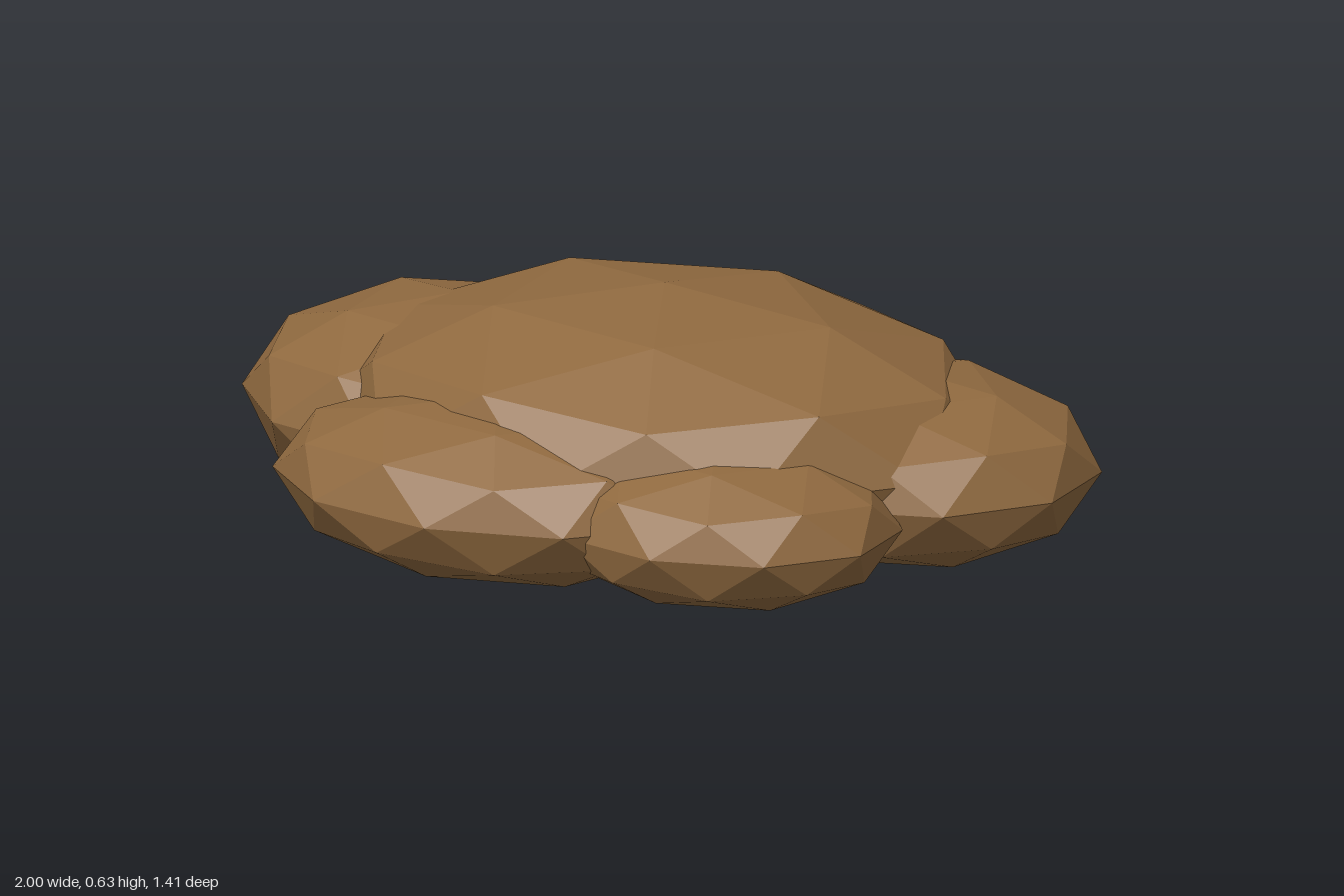
import * as THREE from 'three';

// name, centre [x, y, z], radii [x, y, z]
const LOBES = [
  ['mainMound', [0.013, 0.316, -0.08], [0.79, 0.314, 0.63]],
  ['rightSideLobe', [-0.52, 0.272, -0.115], [0.505, 0.249, 0.438]],
  ['leftSideLobe', [0.548, 0.257, -0.18], [0.475, 0.221, 0.41]],
  ['frontRightLobe', [-0.206, 0.242, 0.33], [0.534, 0.211, 0.37]],
  ['frontLeftLobe', [0.329, 0.225, 0.289], [0.433, 0.19, 0.347]],
];

export function createModel() {
  const group = new THREE.Group();
  group.name = 'lumpyMound';

  const brown = new THREE.MeshStandardMaterial({ color: 0x8f693f, flatShading: true });
  brown.name = 'earthBrown';

  for (const [name, centre, radii] of LOBES) {
    // faceted ball, tipped so one corner points straight up, then squashed
    const ball = new THREE.IcosahedronGeometry(1, 1);
    ball.rotateZ(-Math.atan2(1, (1 + Math.sqrt(5)) / 2));
    ball.scale(...radii);
    ball.computeVertexNormals();

    const lobe = new THREE.Mesh(ball, brown);
    lobe.name = name;
    lobe.position.set(...centre);
    group.add(lobe);
  }
  return group;
}
